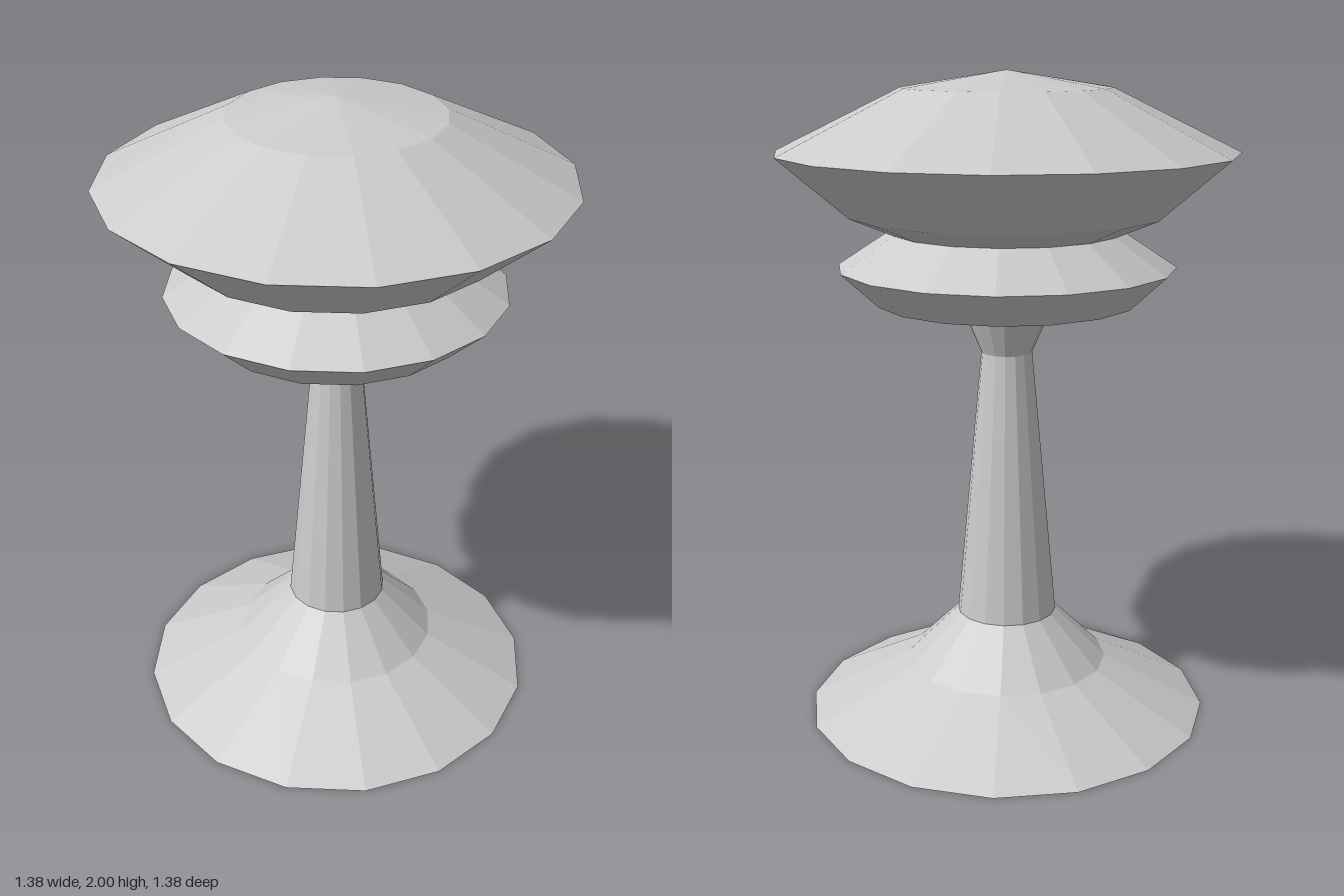
import * as THREE from 'three';

const SIDES = 16;

export function createModel() {
  const group = new THREE.Group();
  const material = new THREE.MeshStandardMaterial({
    color: 0xcccccc, flatShading: true, side: THREE.DoubleSide,
  });

  // Revolves a profile of [radius, height] points, listed bottom to top
  const turned = (name, profile) => {
    const points = profile.map(([r, y]) => new THREE.Vector2(r, y));
    const mesh = new THREE.Mesh(new THREE.LatheGeometry(points, SIDES), material);
    mesh.name = name;
    group.add(mesh);
  };

  // Hollow flared foot
  turned('base', [[0.63, 0], [0.315, 0.16], [0.155, 0.32]]);

  // Tapering column that flares out under the pod
  turned('shaft', [[0.155, 0.32], [0.078, 1.16], [0.17, 1.375]]);

  // Lower ring with a shallow recessed underside
  turned('lowerDeck', [[0.17, 1.375], [0.397, 1.32], [0.51, 1.425], [0.35, 1.53]]);

  // Wide saucer with a low conical roof
  turned('upperDeck', [[0.35, 1.53], [0.48, 1.585], [0.69, 1.765]]);
  turned('roof', [[0.69, 1.765], [0.313, 1.95], [0, 2]]);

  return group;
}
